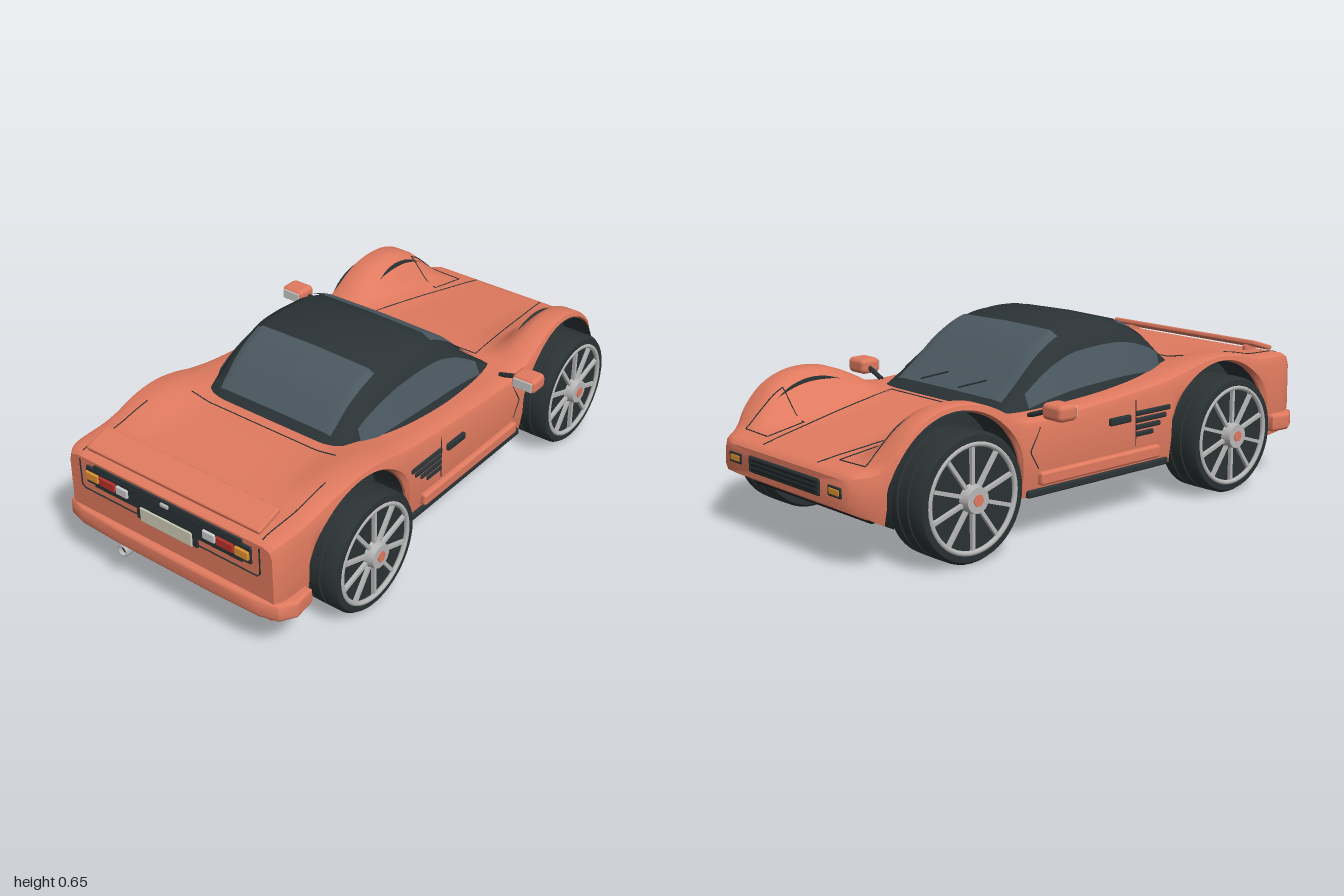
import * as THREE from 'three';
import { toCreasedNormals } from 'three/addons/utils/BufferGeometryUtils.js';
import { RoundedBoxGeometry } from 'three/addons/geometries/RoundedBoxGeometry.js';

const mat = (color, side = THREE.FrontSide) => new THREE.MeshStandardMaterial({ color, side });
const paint = mat(0xe07a5f), black = mat(0x2b3336, THREE.DoubleSide), rubber = mat(0x2b3234);
const glass = mat(0x4b5860, THREE.DoubleSide), metal = mat(0xb8b8b8), under = mat(0x171b1c);
const amber = mat(0xe0932f), red = mat(0xb8302a), white = mat(0xd2d4d4), plate = mat(0xd0ceb8);

const ARCH_R = 0.26, WHEEL_Y = 0.215, AXLES = [-0.645, 0.57];
const lerp = THREE.MathUtils.lerp;

// Smooth curve through [z, value] pairs
function curve(t) {
  const slope = i => {
    const a = t[Math.max(i - 1, 0)], b = t[Math.min(i + 1, t.length - 1)];
    return (b[1] - a[1]) / (b[0] - a[0]);
  };
  return z => {
    if (z <= t[0][0]) return t[0][1];
    for (let i = 0; i < t.length - 1; i++) {
      const [z0, v0] = t[i], [z1, v1] = t[i + 1];
      if (z > z1) continue;
      const d = z1 - z0, u = (z - z0) / d, u2 = u * u, u3 = u2 * u;
      return v0 * (2 * u3 - 3 * u2 + 1) + v1 * (3 * u2 - 2 * u3)
        + slope(i) * d * (u3 - 2 * u2 + u) + slope(i + 1) * d * (u3 - u2);
    }
    return t[t.length - 1][1];
  };
}

// Body: half width, fender crest, centre deck and floor height along z
const bodyW = curve([[-0.995, 0.34], [-0.98, 0.36], [-0.92, 0.405], [-0.86, 0.43], [-0.64, 0.435], [-0.4, 0.448], [0, 0.45], [0.85, 0.45], [0.95, 0.445], [0.975, 0.43]]);
const crest = curve([[-0.995, 0.3], [-0.98, 0.315], [-0.92, 0.33], [-0.86, 0.39], [-0.8, 0.447], [-0.72, 0.485], [-0.64, 0.495], [-0.55, 0.485], [-0.46, 0.45], [-0.38, 0.41], [-0.3, 0.402], [-0.1, 0.415], [0.1, 0.43], [0.3, 0.452], [0.45, 0.483], [0.57, 0.495], [0.7, 0.482], [0.8, 0.463], [0.95, 0.455], [0.975, 0.44]]);
const deck = curve([[-0.995, 0.3], [-0.98, 0.315], [-0.8, 0.345], [-0.6, 0.375], [-0.38, 0.4], [0, 0.42], [0.3, 0.45], [0.5, 0.468], [0.8, 0.457], [0.95, 0.452], [0.975, 0.44]]);
const floorY = curve([[-0.995, 0.205], [-0.94, 0.175], [-0.9, 0.155], [-0.8, 0.15], [0.8, 0.15], [0.975, 0.165]]);
const topY = (x, z) => lerp(deck(z), crest(z), THREE.MathUtils.smoothstep(Math.abs(x) / bodyW(z), 0.5, 0.84));

function bodySection(z) {
  const w = bodyW(z), f = floorY(z), xi = Math.min(0.31, w - 0.06);
  let low = f + 0.002;
  for (const c of AXLES) if (Math.abs(z - c) < ARCH_R) low = WHEEL_Y + Math.sqrt(ARCH_R ** 2 - (z - c) ** 2);
  const s = Math.max(crest(z), low + 0.015), r = Math.min(0.035, (s - low) * 0.6);
  const p = [[0, f], [xi, f], [xi, low], [w - 0.012, low], [w, lerp(low, s - r, 0.35)], [w - 0.002, s - r], [w - r * 0.3, s - r * 0.3], [w - r, s]];
  for (const k of [0.84, 0.79, 0.74, 0.69, 0.64, 0.59, 0.5, 0.25, 0]) p.push([k * w, k > 0.83 ? s : Math.min(s, topY(k * w, z))]);
  return p;
}

// Closed loft of mirrored half sections, stacked along z
function loft(zs, section, crease) {
  const pos = [], idx = [];
  const rings = zs.map(z => {
    const h = section(z);
    return [...h, ...h.slice(1, -1).reverse().map(([x, y]) => [-x, y])];
  });
  const n = rings[0].length;
  rings.forEach((r, i) => r.forEach(([x, y]) => pos.push(x, y, zs[i])));
  for (let i = 0; i < zs.length - 1; i++) for (let j = 0; j < n; j++) {
    const a = i * n + j, b = i * n + (j + 1) % n;
    idx.push(a, b, a + n, b, b + n, a + n);
  }
  [0, zs.length - 1].forEach((i, end) => {
    const c = pos.length / 3, ys = rings[i].map(p => p[1]);
    pos.push(0, (Math.min(...ys) + Math.max(...ys)) / 2, zs[i]);
    for (let j = 0; j < n; j++) {
      const a = i * n + j, b = i * n + (j + 1) % n;
      idx.push(c, end ? a : b, end ? b : a);
    }
  });
  const g = new THREE.BufferGeometry();
  g.setAttribute('position', new THREE.Float32BufferAttribute(pos, 3));
  g.setIndex(idx);
  return toCreasedNormals(g, crease);
}

// Cabin: roof line, base width and roof width along z
const roofY = curve([[-0.36, 0.4], [-0.27, 0.475], [-0.16, 0.575], [-0.05, 0.637], [0.05, 0.652], [0.13, 0.655], [0.22, 0.645], [0.35, 0.585], [0.44, 0.505], [0.48, 0.465]]);
const baseW = curve([[-0.36, 0.325], [-0.2, 0.35], [0, 0.365], [0.25, 0.35], [0.48, 0.3]]);
const roofW = curve([[-0.36, 0.315], [-0.05, 0.3], [0.22, 0.3], [0.48, 0.285]]);
function cabinSection(z, off = 0) {
  const b = lerp(0.385, 0.42, (z + 0.36) / 0.84), h = roofY(z) + off - b, w = roofW(z) + off;
  return [[baseW(z) + off, b], [w, b + h * 0.7], [w - 0.03, b + h * 0.88], [w - 0.08, b + h * 0.98], [0, b + h]];
}
// Glass patch on the cabin, s runs 0 (sill) to 4 (centre line)
function cabinPatch(z0, z1, s0, s1, side) {
  const at = (u, v) => {
    const z = lerp(z0, z1, u), s = lerp(s0, s1, v), p = cabinSection(z, 0.005), i = Math.min(3, Math.floor(s));
    return [side * lerp(p[i][0], p[i + 1][0], s - i), lerp(p[i][1], p[i + 1][1], s - i), z];
  };
  const g = new THREE.PlaneGeometry(1, 1, 16, 12), P = g.attributes.position;
  for (let i = 0; i < P.count; i++) P.setXYZ(i, ...at(P.getX(i) + 0.5, P.getY(i) + 0.5));
  g.computeVertexNormals();
  return g;
}

function makeWheel(add) {
  const g = new THREE.Group();
  const prof = [[0.17, -0.085], [0.2, -0.083], [0.209, -0.07], [0.21, -0.03], [0.205, -0.027], [0.205, -0.023], [0.21, -0.02], [0.21, 0.02], [0.205, 0.023], [0.205, 0.027], [0.21, 0.03], [0.209, 0.07], [0.2, 0.083], [0.18, 0.085], [0.17, 0.07]];
  const turned = geo => geo.rotateZ(-Math.PI / 2);
  add(g, 'tyre', toCreasedNormals(turned(new THREE.LatheGeometry(prof.map(p => new THREE.Vector2(...p)), 48)), 0.6), rubber);
  add(g, 'wheelDisc', turned(new THREE.CylinderGeometry(0.172, 0.172, 0.14, 40)), rubber);
  add(g, 'rim', new THREE.TorusGeometry(0.172, 0.009, 8, 48).rotateY(Math.PI / 2), metal, 0.08);
  for (let i = 0; i < 10; i++) {
    const spoke = add(g, 'spoke', new THREE.BoxGeometry(0.014, 0.14, 0.012).translate(0, 0.1, 0), metal, 0.076);
    spoke.rotation.x = i * Math.PI / 5;
  }
  add(g, 'hub', turned(new THREE.CylinderGeometry(0.042, 0.048, 0.04, 24)), metal, 0.085);
  add(g, 'hubCap', turned(new THREE.CylinderGeometry(0.02, 0.02, 0.012, 6)), paint, 0.103);
  return g;
}

export function createModel() {
  const car = new THREE.Group();
  car.name = 'sportsCar';
  const add = (parent, name, geo, m, x = 0, y = 0, z = 0) => {
    const o = new THREE.Mesh(geo, m);
    o.name = name;
    o.position.set(x, y, z);
    parent.add(o);
    return o;
  };
  const box = (name, m, sx, sy, sz, x, y, z, r = 0.006) => add(car, name, new RoundedBoxGeometry(sx, sy, sz, 2, r), m, x, y, z);
  const line = (name, pts, r = 0.002, m = black) => {
    const c = new THREE.CatmullRomCurve3(pts.map(p => new THREE.Vector3(...p)), false, 'catmullrom', 0);
    add(car, name, new THREE.TubeGeometry(c, pts.length * 5, r, 5), m);
  };
  const onTop = (x, z) => [x, topY(x, z) + 0.001, z];
  const seam = (name, a, b) => line(name, Array.from({ length: 9 }, (_, i) => onTop(lerp(a[0], b[0], i / 8), lerp(a[1], b[1], i / 8))));

  // Body shell and floor
  const zs = [-0.995, -0.988, 0.975];
  for (let i = 0; i < 98; i++) zs.push(-0.98 + i * 0.02);
  for (const c of AXLES) for (const e of [-1, 1]) for (const d of [-0.0005, 0.0005, -e * 0.004]) zs.push(c + e * ARCH_R + d);
  add(car, 'body', loft(zs.sort((a, b) => a - b), bodySection, 0.6), paint);
  box('floor', under, 0.64, 0.016, 1.83, 0, 0.15, 0.02);

  // Cabin and glass
  const cz = Array.from({ length: 43 }, (_, i) => -0.36 + i * 0.02);
  add(car, 'cabin', loft(cz, z => { const p = cabinSection(z); return [[0, p[0][1]], ...p]; }, 0.7), black);
  for (const s of [1, -1]) {
    add(car, 'windscreen', cabinPatch(-0.325, -0.06, 2.3, 4, s), glass);
    add(car, 'rearWindow', cabinPatch(0.24, 0.455, 2.5, 4, s), glass);
    add(car, 'sideWindow', cabinPatch(-0.26, 0.39, 0.3, 0.95, s), glass);
  }
  for (const x of [-0.15, 0.05]) line('wiper', [[x, roofY(-0.28) + 0.012, -0.28], [x + 0.1, roofY(-0.32) + 0.012, -0.32]], 0.003);

  // Wheels and dark arch liners
  for (const s of [1, -1]) for (const z of AXLES) {
    const w = makeWheel(add);
    w.name = z < 0 ? 'frontWheel' : 'rearWheel';
    w.position.set(s * 0.425, WHEEL_Y, z);
    if (s < 0) w.rotation.y = Math.PI;
    car.add(w);
    const t0 = -0.25, len = Math.PI + 0.5;
    add(car, 'archLiner', new THREE.CylinderGeometry(0.256, 0.256, 0.12, 40, 1, true, t0, len).rotateZ(Math.PI / 2), black, s * 0.372, WHEEL_Y, z);
    add(car, 'archWall', new THREE.CircleGeometry(0.256, 40, t0, len).rotateY(Math.PI / 2), black, s * 0.314, WHEEL_Y, z);
  }

  // Paired side details
  for (const s of [1, -1]) {
    box('sideSkirt', paint, 0.03, 0.045, 0.56, s * 0.453, 0.207, -0.04, 0.01);
    box('sill', black, 0.03, 0.025, 0.66, s * 0.437, 0.16, -0.035);
    [0.17, 0.15, 0.12, 0.085].forEach((l, i) => box('sideVent', black, 0.016, 0.018, l, s * 0.448, 0.352 - i * 0.024, 0.13 + l / 2));
    box('doorHandle', black, 0.02, 0.026, 0.1, s * 0.451, 0.342, 0.05);
    line('doorSeam', [[s * 0.448, 0.4, 0.13], [s * 0.45, 0.24, 0.13]]);
    line('doorSeam', [[s * 0.446, 0.375, -0.31], [s * 0.449, 0.3, -0.355], [s * 0.449, 0.24, -0.32]]);
    line('mirrorArm', [[s * 0.39, 0.405, -0.31], [s * 0.48, 0.435, -0.3]], 0.009);
    box('mirror', paint, 0.095, 0.056, 0.08, s * 0.517, 0.437, -0.293, 0.018);
    box('mirrorGlass', white, 0.075, 0.036, 0.006, s * 0.517, 0.437, -0.253, 0.002);
    // Hood, headlight and trunk seams
    seam('hoodSeam', [s * 0.15, -0.97], [s * 0.24, -0.38]);
    seam('headlightSeam', [s * 0.2, -0.92], [s * 0.33, -0.92]);
    seam('headlightSeam', [s * 0.21, -0.77], [s * 0.33, -0.77]);
    seam('headlightSeam', [s * 0.2, -0.92], [s * 0.21, -0.77]);
    seam('headlightSeam', [s * 0.33, -0.92], [s * 0.33, -0.77]);
    seam('trunkSeam', [s * 0.38, 0.66], [s * 0.38, 0.96]);
    line('trunkSeam', [[s * 0.38, 0.43, 0.976], [s * 0.38, 0.32, 0.976], [s * 0.12, 0.32, 0.976]], 0.003);
    // Tail lamps and nose indicators
    box('turnLamp', amber, 0.056, 0.032, 0.012, s * 0.318, 0.388, 0.985, 0.004);
    box('brakeLamp', red, 0.07, 0.032, 0.012, s * 0.25, 0.388, 0.985, 0.004);
    box('reverseLamp', white, 0.05, 0.032, 0.012, s * 0.185, 0.388, 0.985, 0.004);
    box('indicatorFrame', black, 0.072, 0.036, 0.012, s * 0.275, 0.256, -0.993, 0.005);
    box('indicator', amber, 0.056, 0.022, 0.012, s * 0.275, 0.256, -0.995, 0.004);
    box('spoilerFoot', paint, 0.02, 0.04, 0.06, s * 0.3, 0.458, 0.9);
  }
  seam('hoodSeam', [-0.24, -0.38], [0.24, -0.38]);
  seam('trunkSeam', [-0.31, 0.52], [0.31, 0.52]);

  // Nose grille
  box('grille', black, 0.4, 0.06, 0.024, 0, 0.252, -0.988, 0.011);
  for (let i = -1; i <= 1; i++) box('grilleBar', under, 0.36, 0.006, 0.006, 0, 0.252 + i * 0.015, -0.998, 0.002);

  // Tail: lamp panel, plate, spoiler, bumper, exhaust
  box('lampPanel', black, 0.7, 0.065, 0.012, 0, 0.388, 0.977, 0.005);
  box('lampPanelTop', black, 0.63, 0.085, 0.01, 0, 0.39, 0.977, 0.004);
  box('plateRecess', black, 0.26, 0.07, 0.01, 0, 0.345, 0.977, 0.004);
  box('numberPlate', plate, 0.22, 0.054, 0.012, 0, 0.337, 0.982, 0.004);
  box('trunkLock', metal, 0.035, 0.014, 0.012, 0, 0.417, 0.983, 0.004);
  box('spoiler', paint, 0.73, 0.018, 0.105, 0, 0.479, 0.905, 0.006).rotation.x = 0.3;
  const half = [[0.46, 0.855], [0.468, 0.92], [0.44, 0.965], [0.38, 0.982], [0.2, 0.988]];
  const outline = [...half, ...half.map(([x, z]) => [-x, z]).reverse()].map(p => new THREE.Vector2(...p));
  const bumper = new THREE.ExtrudeGeometry(new THREE.Shape(outline), { depth: 0.04, bevelSize: 0.012, bevelThickness: 0.012, bevelSegments: 4 });
  add(car, 'rearBumper', toCreasedNormals(bumper.rotateX(Math.PI / 2), 0.7), paint, 0, 0.226, 0);
  const pipe = [[0.017, -0.045], [0.022, -0.045], [0.022, 0.04], [0.017, 0.04], [0.017, -0.045]].map(p => new THREE.Vector2(...p));
  add(car, 'exhaust', toCreasedNormals(new THREE.LatheGeometry(pipe, 24).rotateX(Math.PI / 2), 0.6), metal, -0.203, 0.147, 0.955);
  add(car, 'exhaustBore', new THREE.CylinderGeometry(0.0175, 0.0175, 0.06, 20).rotateX(Math.PI / 2), rubber, -0.203, 0.147, 0.95);
  return car;
}
